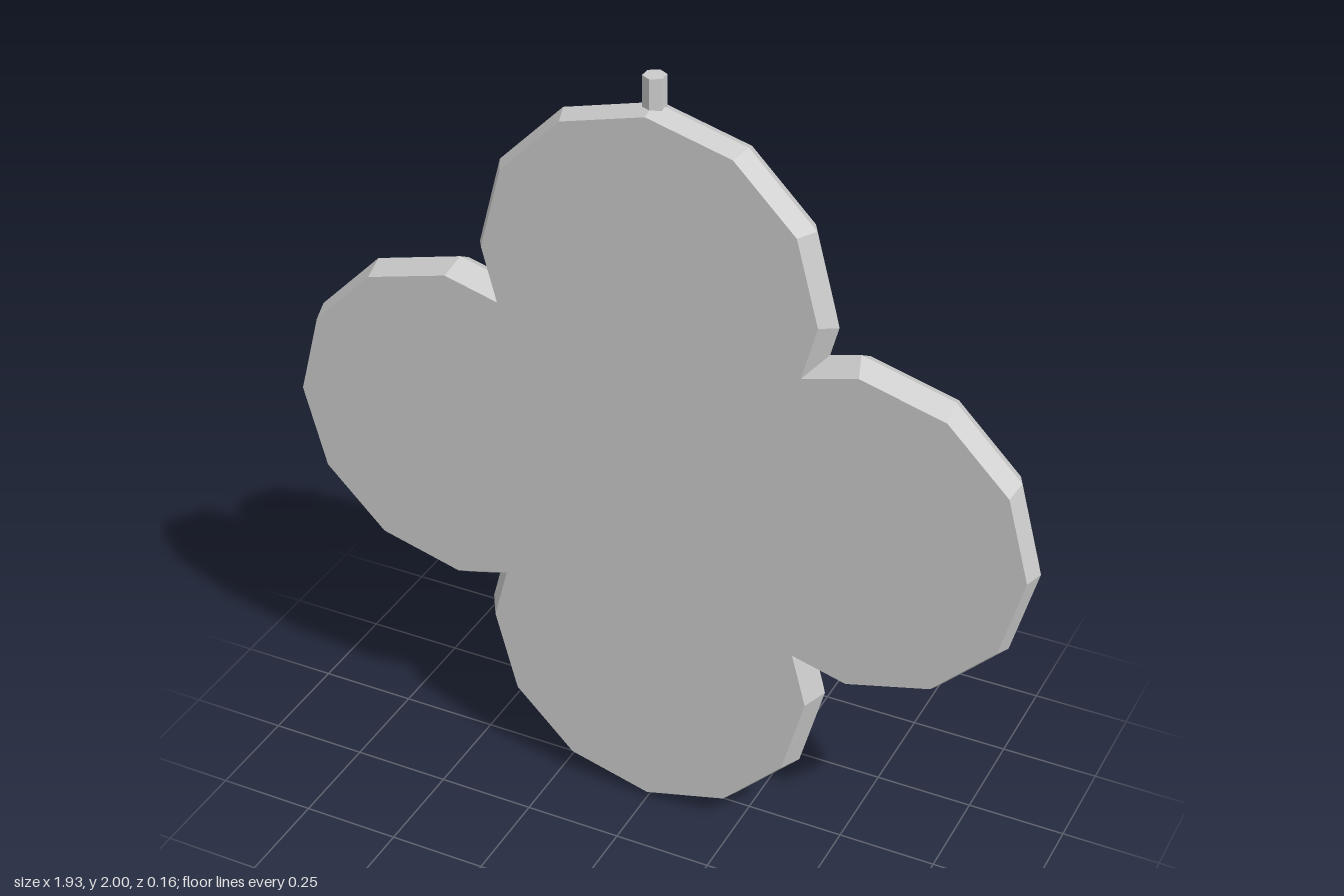
import * as THREE from 'three';

const CENTRE_Y = 0.967;

// Four twelve-sided lobes joined on the diagonals; c = lobe centre distance, r = lobe radius
function lobedRing(z, c, r) {
  const ring = [];
  const t = (c - r) / (0.366 * r);
  const notch = r - 0.134 * r * t;
  for (let lobe = 0; lobe < 4; lobe++) {
    const turn = lobe * Math.PI / 2;
    const points = [[notch, notch]];
    for (let i = 0; i <= 6; i++) {
      const a = i * Math.PI / 6;
      points.push([r * Math.cos(a), c + r * Math.sin(a)]);
    }
    for (const [x, y] of points) {
      ring.push([
        x * Math.cos(turn) - y * Math.sin(turn),
        x * Math.sin(turn) + y * Math.cos(turn),
        z,
      ]);
    }
  }
  return ring;
}

// Skin the rings from back to front and close both ends with fans
function loft(rings) {
  const pos = [];
  const tri = (...corners) => corners.forEach((p) => pos.push(...p));
  const n = rings[0].length;
  const first = rings[0], last = rings[rings.length - 1];
  for (let i = 0; i < n; i++) {
    const j = (i + 1) % n;
    for (let k = 0; k < rings.length - 1; k++) {
      const a = rings[k], b = rings[k + 1];
      tri(a[i], a[j], b[j]);
      tri(a[i], b[j], b[i]);
    }
    tri([0, 0, first[0][2]], first[j], first[i]);
    tri([0, 0, last[0][2]], last[i], last[j]);
  }
  const geometry = new THREE.BufferGeometry();
  geometry.setAttribute('position', new THREE.Float32BufferAttribute(pos, 3));
  geometry.computeVertexNormals();
  return geometry;
}

export function createModel() {
  const group = new THREE.Group();
  const material = new THREE.MeshStandardMaterial({ color: 0xcccccc, flatShading: true });
  const add = (name, geometry, x, y, z) => {
    const mesh = new THREE.Mesh(geometry, material);
    mesh.name = name;
    mesh.position.set(x, y, z);
    group.add(mesh);
    return mesh;
  };

  // Clover-shaped plate: rounded towards the back, slightly bevelled at the front
  add('plate', loft([
    lobedRing(-0.04, 0.525, 0.375),
    lobedRing(-0.015, 0.515, 0.43),
    lobedRing(0.03, 0.511, 0.456),
    lobedRing(0.08, 0.527, 0.425),
  ]), 0, CENTRE_Y, 0);

  // Raised round pads on the back, one per lobe
  const padGeometry = new THREE.CylinderGeometry(0.272, 0.272, 0.05, 12);
  padGeometry.rotateX(Math.PI / 2);
  ['rightPad', 'topPad', 'leftPad', 'bottomPad'].forEach((name, i) => {
    const a = Math.PI - i * Math.PI / 2;
    add(name, padGeometry, 0.557 * Math.cos(a), CENTRE_Y + 0.557 * Math.sin(a), -0.055);
  });

  // Small hexagonal peg on top
  add('topPeg', new THREE.CylinderGeometry(0.028, 0.028, 0.12, 6), 0, 1.94, 0.03);

  return group;
}
